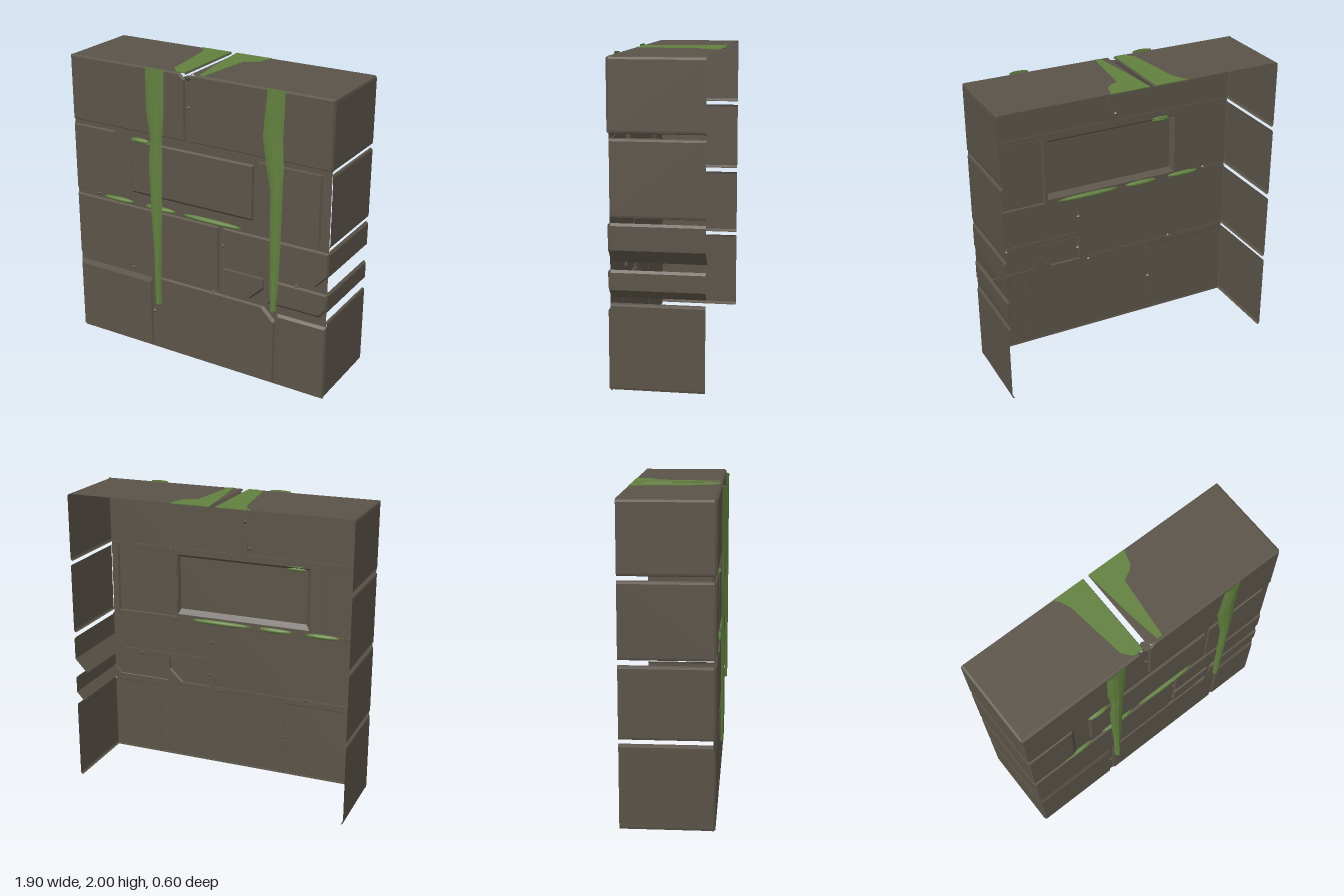
import * as THREE from 'three';

const FRONT = 0.277, BACKING = 0.263, REAR = -0.3, TOP = 1.997;

export function createModel() {
  const model = new THREE.Group();
  const stone = new THREE.MeshStandardMaterial({ color: 0x5a5348, side: THREE.DoubleSide });
  stone.name = 'stone';
  const moss = new THREE.MeshStandardMaterial({ color: 0x62803f, side: THREE.DoubleSide });
  moss.name = 'moss';

  function add(name, geometry, material, x = 0, y = 0, z = 0) {
    const mesh = new THREE.Mesh(geometry, material);
    mesh.name = name;
    mesh.position.set(x, y, z);
    model.add(mesh);
    return mesh;
  }

  // Flat-shaded surface from quads of [x, y, z] corners
  function surface(quads) {
    const p = [];
    for (const [a, b, c, d] of quads) p.push(...a, ...b, ...c, ...a, ...c, ...d);
    const g = new THREE.BufferGeometry();
    g.setAttribute('position', new THREE.Float32BufferAttribute(p, 3));
    g.computeVertexNormals();
    return g;
  }

  // Move every edge of a counter-clockwise outline inward by its own width
  function inset(pts, widths) {
    const n = pts.length;
    const lines = pts.map(([x, y], i) => {
      const [x2, y2] = pts[(i + 1) % n];
      const l = Math.hypot(x2 - x, y2 - y);
      const nx = -(y2 - y) / l, ny = (x2 - x) / l;
      return [nx, ny, nx * x + ny * y + (widths[i] ?? 0.01)];
    });
    return lines.map(([c, d, e], i) => {
      const [a, b, f] = lines[(i + n - 1) % n];
      const det = a * d - b * c;
      return [(f * d - b * e) / det, (a * e - f * c) / det];
    });
  }

  // Facing stone: flat face with bevelled rim
  function facing(name, pts, widths = [], base = BACKING - 0.002) {
    const inner = inset(pts, widths);
    const rim = pts.map((p, i) => {
      const j = (i + 1) % pts.length;
      return [[...p, base], [...pts[j], base], [...inner[j], FRONT], [...inner[i], FRONT]];
    });
    add(name + 'Rim', surface(rim), stone);
    const face = new THREE.ShapeGeometry(new THREE.Shape(inner.map(p => new THREE.Vector2(...p))));
    add(name + 'Face', face, stone, 0, 0, FRONT);
  }
  const box = (x0, x1, y0, y1) => [[x0, y0], [x1, y0], [x1, y1], [x0, y1]];

  // Thin shell running from the front to the open rear along an x-y path
  function shell(name, path) {
    const quads = path.slice(1).map(([x, y], i) => {
      const [u, v] = path[i];
      return [[u, v, BACKING], [u, v, REAR], [x, y, REAR], [x, y, BACKING]];
    });
    add(name, surface(quads), stone);
  }

  // Backing behind the joints
  add('backing', new THREE.PlaneGeometry(1.89, 1.97), stone, 0, 0.985, BACKING);

  // Facing stones, top course to bottom course
  facing('topLeftStone', [[-0.95, 1.555], [-0.07, 1.555], [-0.07, 1.96], [-0.11, TOP], [-0.95, TOP]]);
  facing('topRightStone', [[-0.035, 1.555], [0.95, 1.555], [0.95, TOP], [0, TOP], [-0.035, 1.965]]);
  facing('upperEndStone', box(-0.95, -0.6, 1.06, 1.53), [0.01, 0.03]);
  facing('upperLongStone', box(-0.52, 0.43, 1.09, 1.515), [0.05, 0.015, 0.03, 0.04], 0.235);
  facing('upperSmallStone', box(0.445, 0.895, 1.06, 1.53), [0.01, 0.018], 0.25);
  facing('middleLongStone', box(-0.95, 0.175, 0.575, 1.03));
  facing('middleChippedStone', [[0.205, 0.78], [0.865, 0.78], [0.95, 0.87], [0.95, 1.03], [0.205, 1.03]]);
  facing('middleSmallStone',
    [[0.205, 0.575], [0.42, 0.575], [0.51, 0.66], [0.51, 0.75], [0.205, 0.75]], [0.01, 0.022], 0.25);
  facing('middleEndStone',
    [[0.53, 0.575], [0.9, 0.575], [0.95, 0.63], [0.95, 0.75], [0.58, 0.75], [0.53, 0.7]], [0.02, 0.02]);
  facing('bottomEndStone', box(-0.95, -0.35, 0.01, 0.535), [0.01, 0.01, 0.04]);
  facing('bottomLongStone',
    [[-0.325, 0.01], [0.59, 0.01], [0.59, 0.47], [0.51, 0.55], [-0.325, 0.55]], [0.01, 0.01, 0.022]);
  facing('bottomSmallStone', box(0.605, 0.95, 0.01, 0.525), [0.01, 0.01, 0.02]);

  // Side and top shells
  const wall = (s, y0, y1) =>
    [[0.935, y0], [0.947, y0 + 0.005], [0.95, y0 + 0.018], [0.95, y1 - 0.018], [0.947, y1 - 0.005], [0.935, y1]]
      .map(([x, y]) => [s * x, y]);
  for (const s of [-1, 1]) {
    const side = s < 0 ? 'right' : 'left';
    shell(side + 'BottomWall', wall(s, 0.01, 0.55));
    shell(side + 'UpperWall', wall(s, 1.06, 1.53));
    const end = s < 0 ? 0.07 : -0.035;
    shell(side + 'TopWall', [...wall(s, 1.555, TOP), [s * end + s * 0.008, TOP], [s * end, TOP - 0.01]]);
  }
  shell('rightMiddleWall', wall(-1, 0.575, 1.03));
  shell('leftChippedWall', [[0.865, 0.78], [0.95, 0.87], [0.95, 1.015], [0.935, 1.03]]);
  shell('leftMiddleWall', [[0.9, 0.575], [0.95, 0.63], [0.95, 0.735], [0.935, 0.75]]);

  // Small chips caught in the joints
  const chips = [[-0.05, 1.78], [0.2, 0.9], [0.21, 0.66], [-0.34, 0.28], [0.73, 0.755],
    [-0.77, 1.06], [-0.5, 0.575], [0.13, 0.55], [-0.085, 1.6]];
  for (const [x, y] of chips)
    add('chip', new THREE.OctahedronGeometry(0.016), stone, x, y, 0.264);
  add('topChip', new THREE.CylinderGeometry(0.035, 0.008, 0.045, 6), stone, -0.05, 1.95, 0.245);

  // Hanging moss strands: rows of [y, left, right], bulging forward
  function strand(name, rows) {
    const ring = ([y, a, b]) => [0, 0.25, 0.5, 0.75, 1].map(t =>
      [a + (b - a) * t, y, 0.284 + 0.02 * Math.sin(Math.PI * t)]);
    const quads = [];
    for (let i = 0; i < rows.length - 1; i++) {
      const u = ring(rows[i]), v = ring(rows[i + 1]);
      for (let k = 0; k < 4; k++) quads.push([v[k], v[k + 1], u[k + 1], u[k]]);
      quads.push([v[4], v[0], u[0], u[4]]);
    }
    add(name, surface(quads), moss);
  }
  strand('longStrand', [[2, -0.355, -0.217], [1.73, -0.355, -0.22], [1.52, -0.328, -0.24], [1.36, -0.345, -0.24],
    [1.05, -0.335, -0.25], [0.72, -0.32, -0.262], [0.36, -0.316, -0.268]]);
  strand('shortStrand', [[2, 0.515, 0.635], [1.7, 0.488, 0.625], [1.52, 0.515, 0.635], [1.36, 0.545, 0.63],
    [1, 0.55, 0.625], [0.72, 0.555, 0.615], [0.545, 0.562, 0.603]]);

  // Moss tufts in the middle joint and on the long stone
  const tufts = [[-0.605, 1.05, 0.25], [-0.275, 1.05, 0.25], [0.12, 1.05, 0.46], [-0.42, 1.497, 0.15]];
  for (const [x, y, w] of tufts) {
    const tuft = add('mossTuft', new THREE.SphereGeometry(0.5, 10, 6), moss, x, y, 0.264);
    tuft.scale.set(w, 0.034, 0.045);
  }

  // Moss patches on the top, outlined in x and -z
  const patches = [
    [[-0.3, 0.3], [-0.27, 0.27], [-0.24, 0.2], [-0.19, -0.2], [-0.14, -0.26], [-0.075, -0.26], [-0.075, 0.3]],
    [[-0.035, 0.3], [-0.02, 0.15], [0, -0.05], [0.03, -0.26], [0.065, -0.26], [0.11, 0.14], [0.17, 0.17],
      [0.2, 0.2], [0.23, 0.3]],
  ];
  for (const pts of patches) {
    const shape = new THREE.Shape(pts.map(p => new THREE.Vector2(...p)));
    const g = new THREE.ExtrudeGeometry(shape, { depth: 0.006, bevelEnabled: false });
    add('topMoss', g.rotateX(-Math.PI / 2), moss, 0, 1.994, 0);
  }
  return model;
}
